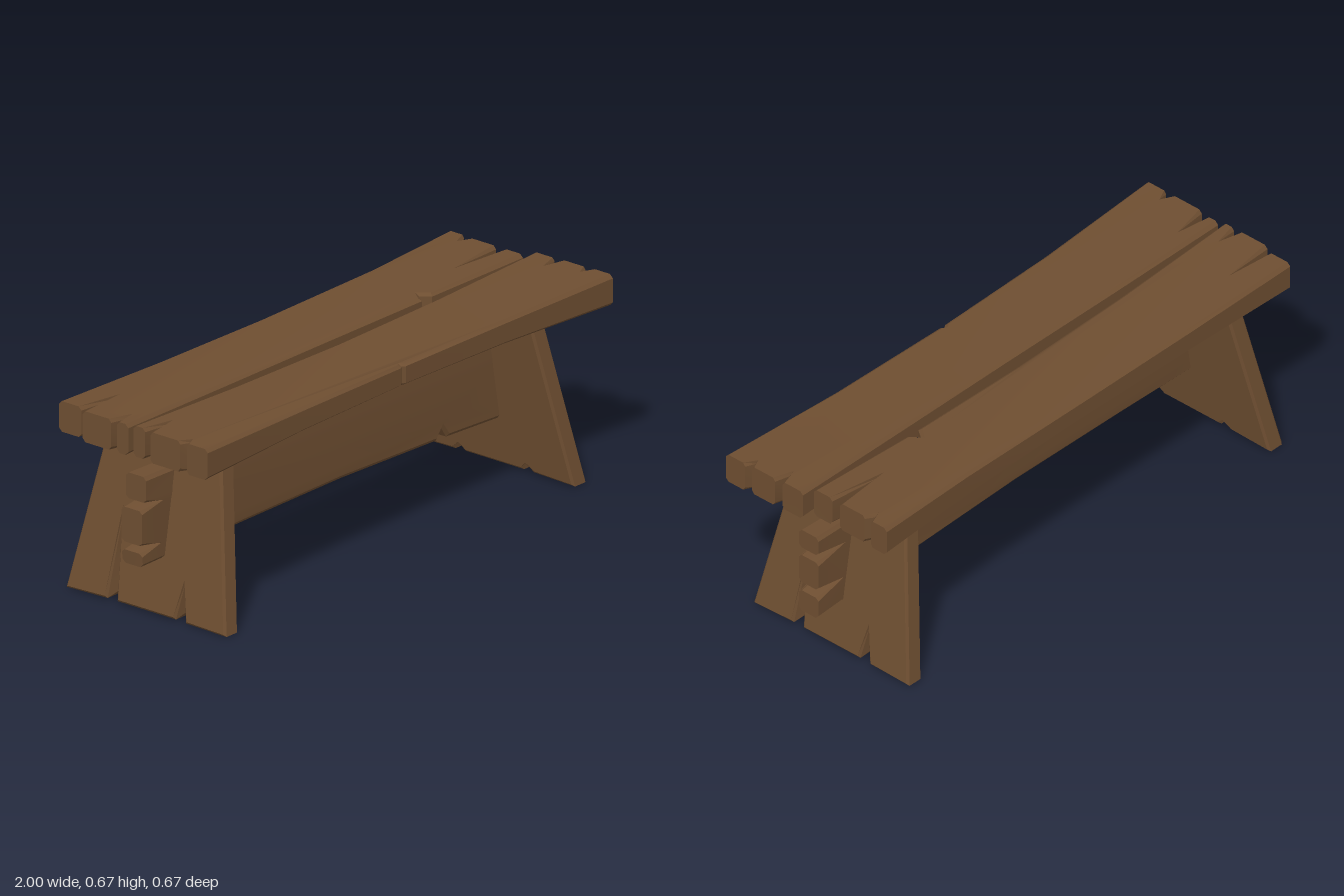
import * as THREE from 'three';
import { toCreasedNormals } from 'three/addons/utils/BufferGeometryUtils.js';

const wood = new THREE.MeshStandardMaterial({ color: 0x6e4e31 });

// Runs a rule over every vertex
function warp(geo, rule) {
  const p = geo.attributes.position, v = new THREE.Vector3();
  for (let i = 0; i < p.count; i++) {
    v.fromBufferAttribute(p, i);
    rule(v);
    p.setXYZ(i, v.x, v.y, v.z);
  }
  return geo;
}

// Extrudes an outline to a chamfered slab centred on local z = 0
function slab(points, thickness, bevel) {
  const shape = new THREE.Shape(points.map(([x, y]) => new THREE.Vector2(x, y)));
  const geo = new THREE.ExtrudeGeometry(shape, {
    depth: thickness - 2 * bevel, bevelEnabled: true, bevelSegments: 1,
    bevelThickness: bevel, bevelSize: bevel, bevelOffset: -bevel,
  });
  return geo.translate(0, 0, bevel - thickness / 2);
}

// Long board: square-cut ends, chamfered sides, thinner towards the middle
function board(points, thickness, bevel, thinning) {
  const xs = points.map((p) => p[0]);
  const min = Math.min(...xs), max = Math.max(...xs);
  return warp(slab(points, thickness, bevel), (v) => {
    const onFace = Math.abs(v.z) > thickness / 2 - 0.001;
    if (onFace && Math.abs(v.x) > 0.925) {
      v.x = THREE.MathUtils.clamp(v.x + Math.sign(v.x) * bevel, min, max);
    }
    v.z *= 1 - thinning * (1 - v.x * v.x);
  });
}

function addMesh(parent, name, geo) {
  const mesh = new THREE.Mesh(toCreasedNormals(geo, 0.35), wood);
  mesh.name = name;
  parent.add(mesh);
  return mesh;
}

export function createModel() {
  const bench = new THREE.Group();
  bench.name = 'bench';

  // Seat planks, outlined in x and z, with split ends and small nicks
  const frontPlank = [
    [-0.99, 0.01], [-0.5, 0.016], [0, 0.02], [0.5, 0.015], [0.99, 0.006],
    [0.99, 0.095], [0.935, 0.108], [0.995, 0.122], [0.995, 0.222], [0.96, 0.232], [1, 0.248], [1, 0.332],
    [0.5, 0.31], [0.012, 0.303], [0, 0.295], [-0.012, 0.303], [-0.5, 0.31], [-1, 0.332],
    [-1, 0.245], [-0.96, 0.232], [-1, 0.215], [-1, 0.09], [-0.88, 0.072], [-0.99, 0.06],
  ];
  const backPlank = [
    [-0.98, -0.312], [-0.5, -0.309], [0, -0.307], [0.55, -0.309], [0.955, -0.326],
    [0.955, -0.257], [0.92, -0.243], [0.95, -0.225], [0.95, -0.118], [0.74, -0.105], [0.95, -0.085], [0.95, -0.005],
    [0.52, -0.02], [0.495, -0.055], [0.47, -0.02], [0, -0.025], [-0.5, -0.018], [-1, -0.003],
    [-1, -0.05], [-0.93, -0.06], [-1, -0.075], [-1, -0.195], [-0.82, -0.207], [-0.98, -0.218],
  ];
  for (const [name, outline] of [['frontSeatPlank', frontPlank], ['backSeatPlank', backPlank]]) {
    const plank = addMesh(bench, name, board(outline, 0.107, 0.012, 0.3));
    plank.rotation.x = Math.PI / 2;
    plank.position.y = 0.6175;
  }

  // Stretcher board passing through both legs, outlined in x and y
  const stretcher = addMesh(bench, 'stretcher', board([
    [-0.995, 0.19], [-0.5, 0.193], [0, 0.195], [0.47, 0.183], [0.495, 0.22], [0.52, 0.182], [0.955, 0.165],
    [0.955, 0.245], [0.85, 0.265], [0.955, 0.278], [0.955, 0.385], [0.84, 0.4], [0.955, 0.415], [0.955, 0.485],
    [0.5, 0.473], [0, 0.48], [-0.5, 0.487], [-0.98, 0.497],
    [-0.98, 0.408], [-0.91, 0.395], [-1, 0.385], [-1, 0.265], [-0.92, 0.25], [-1, 0.238],
  ], 0.086, 0.012, 0.25));
  stretcher.position.z = 0.0125;

  // Splayed legs: tapering slabs whose splits run higher on the outer face
  const legGeometry = () => {
    const geo = slab([
      [-0.337, 0], [-0.165, 0.005], [-0.139, 0.31], [-0.123, 0.005],
      [0.123, 0.005], [0.145, 0.13], [0.166, 0.003], [0.337, 0],
      [0.231, 0.6], [-0.231, 0.6],
    ], 0.067, 0.008);
    warp(geo, (v) => {
      const atSplit = Math.abs(Math.abs(v.x) - 0.142) < 0.016;
      if (atSplit && v.z < 0 && v.y > 0.06 && v.y < 0.4) v.y = 0.035;
    });
    geo.rotateY(Math.PI / 2);
    return warp(geo, (v) => { v.x -= 0.172 * v.y; });
  };
  const leftLeg = addMesh(bench, 'leftLeg', legGeometry());
  leftLeg.position.x = 0.833;
  const rightLeg = addMesh(bench, 'rightLeg', legGeometry());
  rightLeg.position.x = -0.887;
  rightLeg.rotation.y = Math.PI;

  return bench;
}
